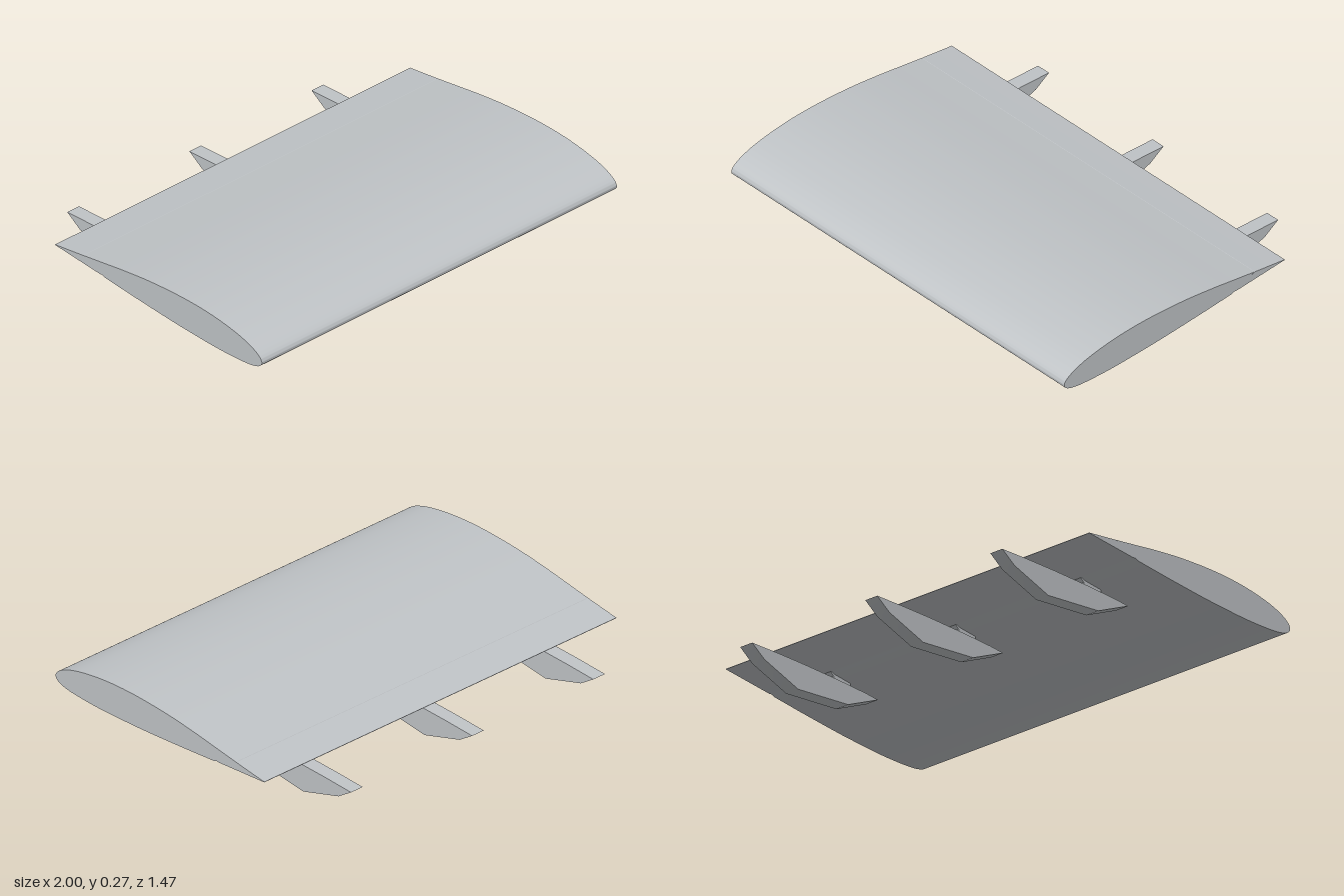
import * as THREE from 'three';
import { toCreasedNormals } from 'three/addons/utils/BufferGeometryUtils.js';

const material = new THREE.MeshStandardMaterial({ color: 0xc0c4c7 });
material.name = 'light grey metal';

// Smooth run of [z, y] points
const smooth = (pts, n) =>
  new THREE.SplineCurve(pts.map(([z, y]) => new THREE.Vector2(z, y))).getPoints(n).map((p) => [p.x, p.y]);

// Extrude a side outline of [z, y] points across the span
function spanPart(name, outline, width, x = 0) {
  const shape = new THREE.Shape(outline.map(([z, y]) => new THREE.Vector2(-z, y)));
  const geo = new THREE.ExtrudeGeometry(shape, { depth: width, bevelEnabled: false });
  geo.translate(0, 0, -width / 2);
  geo.rotateY(Math.PI / 2);
  const mesh = new THREE.Mesh(toCreasedNormals(geo, 0.45), material);
  mesh.name = name;
  mesh.position.x = x;
  return mesh;
}

export function createModel() {
  const group = new THREE.Group();
  group.name = 'wingSection';

  // Main wing: lower skin forward, round the nose, upper skin back to the flap seam
  const skin = smooth([
    [-0.21, 0.157], [-0.1, 0.149], [0.02, 0.141], [0.2, 0.131], [0.33, 0.127], [0.45, 0.125],
    [0.56, 0.128], [0.65, 0.135], [0.705, 0.147], [0.73, 0.163], [0.735, 0.18], [0.722, 0.2],
    [0.685, 0.222], [0.62, 0.244], [0.53, 0.261], [0.43, 0.272], [0.32, 0.276], [0.2, 0.273],
    [0.05, 0.262], [-0.1, 0.243], [-0.22, 0.224], [-0.34, 0.205],
  ], 100);
  group.add(spanPart('mainWing', skin, 2));

  // Trailing flap, nested in the cove behind the main wing
  const flapTop = smooth([[-0.342, 0.2045], [-0.43, 0.1915], [-0.51, 0.18]], 8);
  const flap = [[-0.24, 0.161], [-0.218, 0.164], [-0.225, 0.1665], ...flapTop, [-0.51, 0.178]];
  group.add(spanPart('flap', flap, 2));

  // Three flap track fairings, each hung from a small bracket
  const fairing = [
    [0.045, 0.126], [-0.14, 0.04], [-0.45, 0.002], [-0.66, 0.065], [-0.735, 0.114],
    [-0.58, 0.122], [-0.4, 0.128], [-0.2, 0.131], [-0.03, 0.13],
  ];
  const bracket = [[-0.11, 0.128], [-0.21, 0.128], [-0.215, 0.148], [-0.24, 0.166], [-0.2, 0.166], [-0.11, 0.152]];
  for (const x of [-0.688, 0, 0.688]) {
    group.add(spanPart('trackFairing', [...fairing].reverse(), 0.066, x));
    group.add(spanPart('trackBracket', bracket, 0.04, x));
  }

  return group;
}
